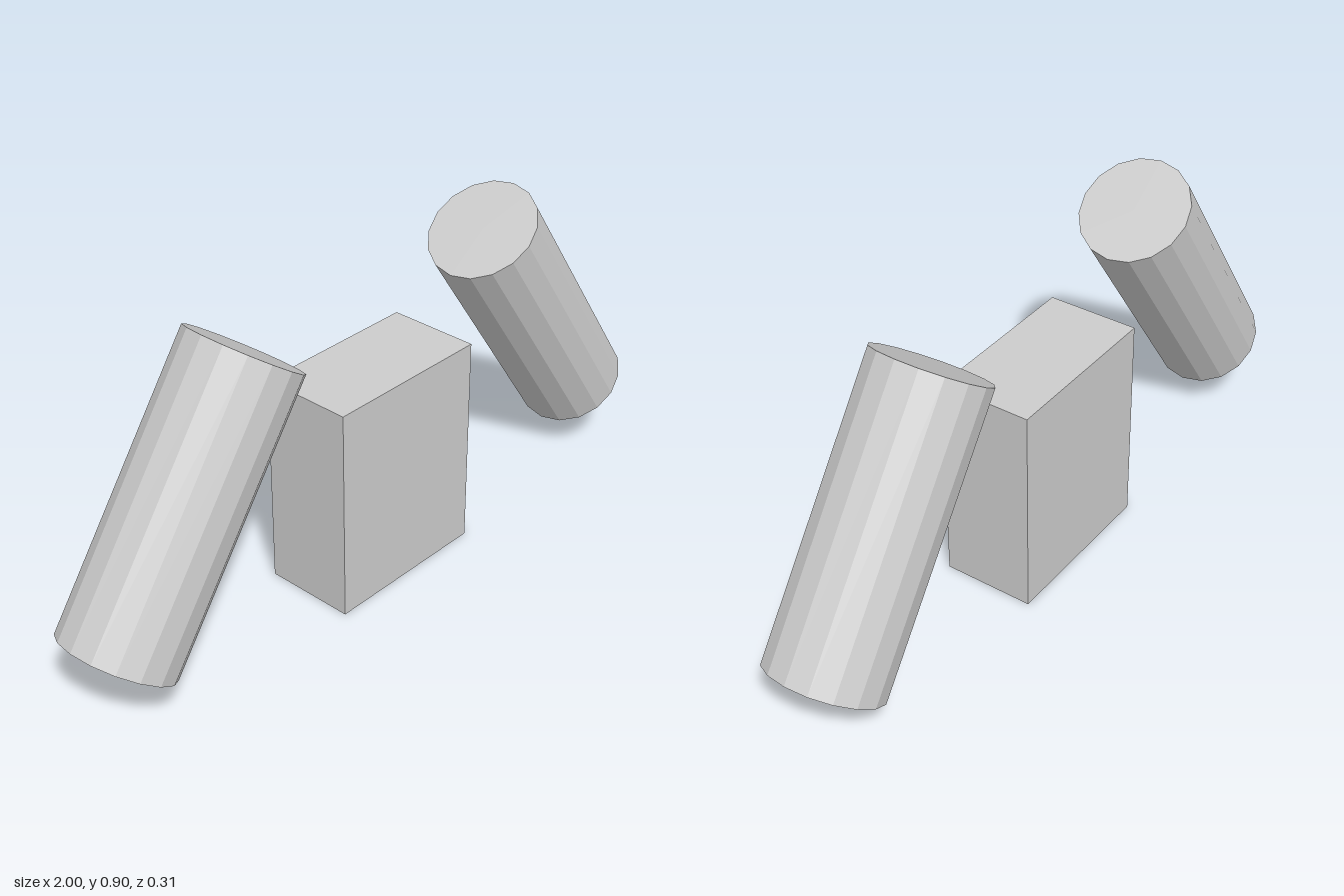
import * as THREE from 'three';

export function createModel() {
  const group = new THREE.Group();
  const grey = new THREE.MeshStandardMaterial({ color: 0xcccccc, flatShading: true });
  grey.name = 'light grey';

  // Central upright block
  const block = new THREE.Mesh(new THREE.BoxGeometry(0.48, 0.597, 0.256), grey);
  block.name = 'centreBlock';
  block.position.y = 0.2985;
  group.add(block);

  // Mirrored cylinders leaning in towards the block
  const cylinder = new THREE.CylinderGeometry(0.154, 0.154, 0.774, 16);
  for (const side of [1, -1]) {
    const mesh = new THREE.Mesh(cylinder, grey);
    mesh.name = side > 0 ? 'leftCylinder' : 'rightCylinder';
    mesh.position.set(side * 0.652, 0.497, 0);
    mesh.rotation.z = side * THREE.MathUtils.degToRad(35);
    group.add(mesh);
  }
  return group;
}
